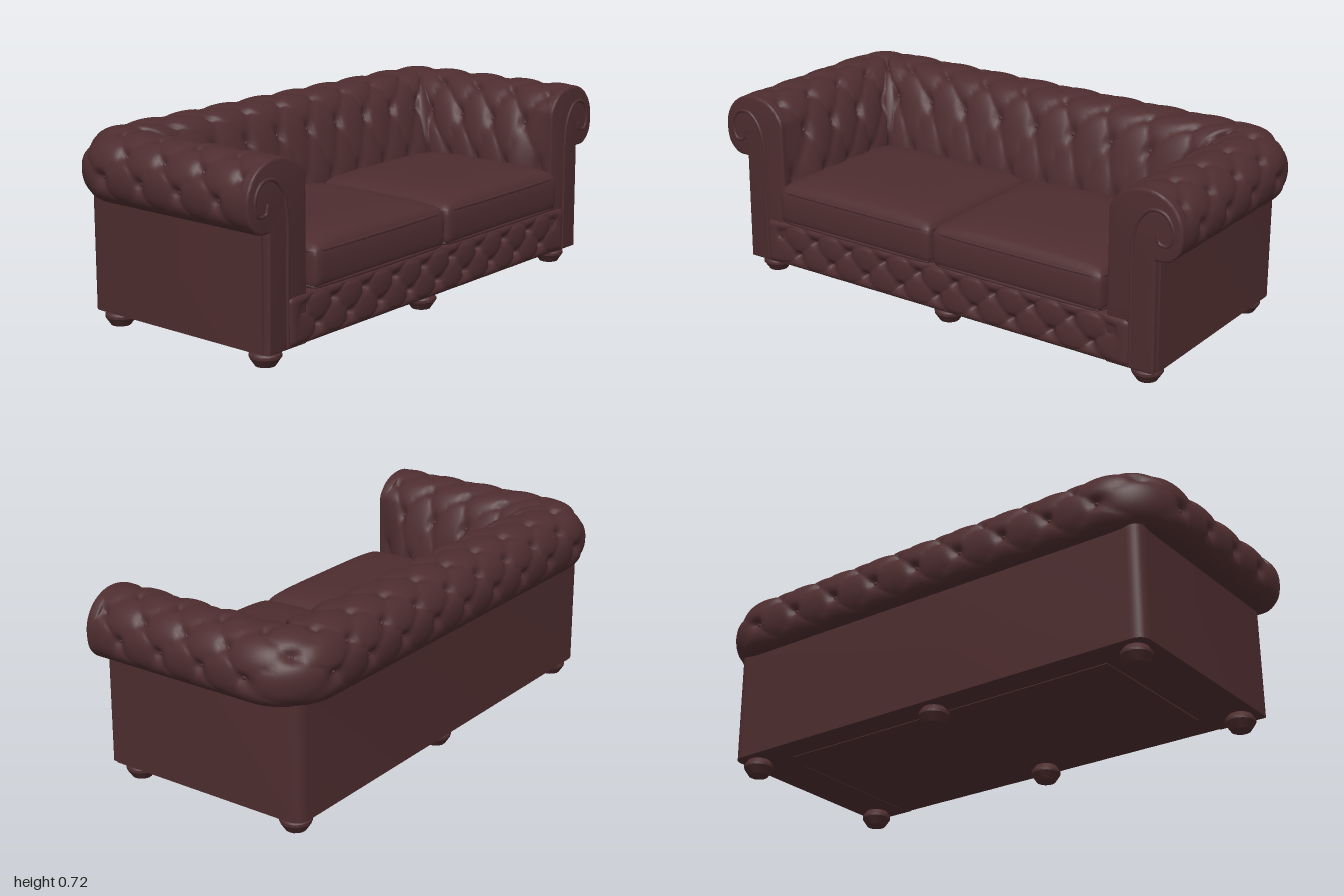
import * as THREE from 'three';
import { mergeVertices, toCreasedNormals } from 'three/addons/utils/BufferGeometryUtils.js';

const leather = new THREE.MeshStandardMaterial({ color: 0x4e2d2f });
leather.name = 'oxblood leather';

const { lerp, smoothstep, clamp } = THREE.MathUtils;

// Roll cross-sections: outward distance from the outer wall, height
const curve = (pts) => new THREE.SplineCurve(pts.map((p) => new THREE.Vector2(...p)));
const backSection = curve([[-0.01, 0.47], [0.03, 0.48], [0.056, 0.52], [0.064, 0.58], [0.056, 0.63], [0.025, 0.68],
  [-0.03, 0.706], [-0.1, 0.712], [-0.17, 0.695], [-0.215, 0.64], [-0.25, 0.55], [-0.285, 0.42], [-0.29, 0.3]]);
const armSection = curve([[-0.01, 0.47], [0.04, 0.475], [0.08, 0.515], [0.09, 0.58], [0.077, 0.635], [0.04, 0.682],
  [-0.02, 0.71], [-0.09, 0.708], [-0.15, 0.68], [-0.195, 0.62], [-0.23, 0.53], [-0.25, 0.42], [-0.25, 0.3]]);

// Depth of diamond tufting; buttons lie where n + row/2 and n - row/2 are whole
function tuftDepth(n, row) {
  const a = Math.abs(Math.sin(Math.PI * (n + row / 2)));
  const b = Math.abs(Math.sin(Math.PI * (n - row / 2)));
  const crease = 1 - Math.pow(a * b, 0.45);
  const dimple = Math.exp(-(a * a + b * b) * 5);
  return 0.01 * crease + 0.022 * dimple;
}
const whole = (v) => Math.abs(v - Math.round(v)) < 1e-6;

function add(parent, name, geometry, x = 0, y = 0, z = 0) {
  const mesh = new THREE.Mesh(geometry, leather);
  mesh.name = name;
  mesh.position.set(x, y, z);
  parent.add(mesh);
  return mesh;
}

// Move vertices along their normals, then smooth again
function inflate(geo, amount) {
  geo.computeVertexNormals();
  const p = geo.attributes.position, nr = geo.attributes.normal;
  for (let i = 0; i < p.count; i++) {
    const h = amount(i, p, nr);
    p.setXYZ(i, p.getX(i) + nr.getX(i) * h, p.getY(i) + nr.getY(i) * h, p.getZ(i) + nr.getZ(i) * h);
  }
  geo.computeVertexNormals();
  return geo;
}

// Finely divided box with rounded edges; power < 1 packs divisions to the edges
function softBox(w, h, d, r, segs, power = 1) {
  let geo = new THREE.BoxGeometry(w, h, d, ...segs);
  geo.deleteAttribute('uv');
  geo.deleteAttribute('normal');
  geo = mergeVertices(geo);
  const half = new THREE.Vector3(w / 2, h / 2, d / 2);
  const p = geo.attributes.position, v = new THREE.Vector3(), core = new THREE.Vector3();
  const limit = half.clone().subScalar(r);
  for (let i = 0; i < p.count; i++) {
    v.fromBufferAttribute(p, i);
    for (const k of ['x', 'y', 'z']) v[k] = Math.sign(v[k]) * half[k] * Math.pow(Math.abs(v[k]) / half[k], power);
    core.copy(v).clamp(limit.clone().negate(), limit);
    v.sub(core);
    if (v.length() > 0) v.setLength(r);
    v.add(core);
    p.setXYZ(i, v.x, v.y, v.z);
  }
  geo.computeVertexNormals();
  return geo;
}

// Point on the U-shaped roll: n runs arm, corner, back, corner, arm
function rollPoint(n, t) {
  const side = n > 8 ? 1 : -1, m = n > 8 ? 16 - n : n;
  const A = armSection.getPoint(t), B = backSection.getPoint(t);
  const X = -0.41 - B.x;
  let Z = 0.91 + A.x;
  const r = Math.max(0.03, 0.15 + (A.x + B.x) / 2);
  const y = lerp(A.y, B.y, smoothstep(m, 3, 4));
  let x;
  if (m < 3) {
    const k = (m + 0.75) / 3.75;
    x = lerp(0.42, X + r, k);
    Z = lerp(Math.max(Z, 0.72), Z, smoothstep(k, 0, 0.3));
  } else if (m < 4) {
    const a = (m - 3) * Math.PI / 2;
    x = X + r - r * Math.sin(a);
    Z = Z - r + r * Math.cos(a);
  } else {
    x = X;
    Z = (Z - r) * (1 - (m - 4) / 4);
  }
  return [x, y, side * Z];
}

function addTuftedRoll(sofa) {
  const cols = 280, rows = 72, pos = [], index = [], nOf = [], rowOf = [];
  for (let i = 0; i <= cols; i++) for (let j = 0; j <= rows; j++) {
    const n = -0.75 + i / 16;
    pos.push(...rollPoint(n, j / rows));
    nOf.push(n);
    rowOf.push((j - 17) / 10);
    if (i < cols && j < rows) {
      const a = i * (rows + 1) + j, b = a + rows + 1;
      index.push(a, b, a + 1, b, b + 1, a + 1);
    }
  }
  const geo = new THREE.BufferGeometry();
  geo.setAttribute('position', new THREE.Float32BufferAttribute(pos, 3));
  geo.setIndex(index);
  const fade = (i) => smoothstep(rowOf[i], -1.1, -0.1) * smoothstep(Math.min(nOf[i], 16 - nOf[i]), -0.75, -0.4);
  inflate(geo, (i) => 0.004 * fade(i) - fade(i) * tuftDepth(nOf[i], rowOf[i]));
  add(sofa, 'tuftedArmsAndBack', geo);
  // Buttons at the bottom of each dimple
  const buttons = new THREE.Group();
  buttons.name = 'buttons';
  const ball = new THREE.SphereGeometry(0.009, 8, 6);
  nOf.forEach((n, i) => {
    const row = rowOf[i];
    if (fade(i) > 0.9 && row < 4.5 && whole(n + row / 2) && whole(n - row / 2)) {
      add(buttons, 'button', ball, ...new THREE.Vector3().fromBufferAttribute(geo.attributes.position, i).toArray());
    }
  });
  sofa.add(buttons);
}

export function createModel() {
  const sofa = new THREE.Group();
  sofa.name = 'sofa';

  // Outer walls, U-shaped in plan
  const plan = new THREE.Shape();
  plan.moveTo(0.405, -0.91).lineTo(0.405, -0.735).lineTo(-0.2, -0.735).lineTo(-0.2, 0.735).lineTo(0.405, 0.735);
  plan.lineTo(0.405, 0.91).lineTo(-0.36, 0.91).quadraticCurveTo(-0.41, 0.91, -0.41, 0.86);
  plan.lineTo(-0.41, -0.86).quadraticCurveTo(-0.41, -0.91, -0.36, -0.91);
  const walls = new THREE.ExtrudeGeometry(plan, { depth: 0.42, bevelEnabled: false, curveSegments: 8 });
  walls.rotateX(-Math.PI / 2);
  add(sofa, 'outerWalls', toCreasedNormals(walls, 0.6), 0, 0.06, 0);

  add(sofa, 'seatDeck', new THREE.BoxGeometry(0.65, 0.18, 1.5), 0.075, 0.152, 0);
  add(sofa, 'undersidePanel', new THREE.BoxGeometry(0.6, 0.006, 1.4), 0, 0.06, 0);

  addTuftedRoll(sofa);

  // Tufted rail under the cushions
  const rail = softBox(0.1, 0.178, 1.63, 0.025, [8, 30, 200]);
  inflate(rail, (i, p, nr) => {
    const inside = smoothstep(0.82 - Math.abs(p.getZ(i)), 0.03, 0.1);
    return -inside * smoothstep(nr.getX(i), 0.3, 1) * tuftDepth(p.getZ(i) / 0.165, (p.getY(i) + 0.035) / 0.07);
  });
  add(sofa, 'tuftedFrontRail', rail, 0.391, 0.15, 0);

  // Scrolled arm fronts with piping
  for (const s of [1, -1]) {
    const name = s > 0 ? 'left' : 'right';
    const outline = armSection.getPoints(48).map((q) => new THREE.Vector2(-s * Math.max(0.91 + q.x, 0.72), q.y));
    outline.push(new THREE.Vector2(-s * 0.72, 0.06), new THREE.Vector2(-s * 0.905, 0.06));
    const front = new THREE.ExtrudeGeometry(new THREE.Shape(outline),
      { depth: 0.028, bevelThickness: 0.008, bevelSize: 0.008, bevelOffset: -0.008, bevelSegments: 3 });
    front.rotateY(Math.PI / 2);
    add(sofa, name + 'ArmFront', toCreasedNormals(front, 0.7), 0.395, 0, 0);
    const scroll = [[0.815, 0.07], [0.815, 0.3], [0.815, 0.52], [0.835, 0.6], [0.88, 0.645], [0.935, 0.64],
      [0.965, 0.59], [0.95, 0.535], [0.915, 0.535], [0.905, 0.57]];
    const path = new THREE.CatmullRomCurve3(scroll.map(([z, y]) => new THREE.Vector3(0.43, y, s * z)));
    add(sofa, name + 'ArmPiping', new THREE.TubeGeometry(path, 70, 0.007, 8));
  }

  // Seat cushions: crowned tops and piped edges
  const cushion = softBox(0.62, 0.14, 0.712, 0.025, [28, 8, 28], 0.7);
  const p = cushion.attributes.position;
  for (let i = 0; i < p.count; i++) {
    const u = p.getX(i) / 0.31, w = p.getZ(i) / 0.356, v = p.getY(i) / 0.07;
    const crown = Math.sqrt(Math.max(0, (1 - u ** 4) * (1 - w ** 4)));
    if (v > 0) p.setY(i, p.getY(i) + 0.045 * crown * clamp(v, 0, 1));
    p.setX(i, p.getX(i) + 0.006 * u * (1 - v * v));
  }
  cushion.computeVertexNormals();
  const corners = [];
  for (const [x, z, a] of [[1, 1, 0], [-1, 1, 1], [-1, -1, 2], [1, -1, 3]]) {
    for (let k = 0; k <= 3; k++) {
      const t = (a + k / 3) * Math.PI / 2;
      corners.push(new THREE.Vector3(x * 0.281 + 0.022 * Math.cos(t), 0, z * 0.327 + 0.022 * Math.sin(t)));
    }
  }
  const edge = new THREE.CatmullRomCurve3(corners, true, 'centripetal');
  const piping = new THREE.TubeGeometry(edge, 120, 0.007, 6, true);
  for (const s of [1, -1]) {
    const seat = new THREE.Group();
    seat.name = s > 0 ? 'leftCushion' : 'rightCushion';
    add(seat, 'cushionPad', cushion);
    add(seat, 'topPiping', piping, 0, 0.06, 0);
    add(seat, 'bottomPiping', piping, 0, -0.06, 0);
    seat.position.set(0.153, 0.315, s * 0.36);
    sofa.add(seat);
  }

  // Turned bun feet
  const profile = [[0, 0], [0.036, 0], [0.056, 0.03], [0.056, 0.04], [0.04, 0.062], [0, 0.062]];
  const bun = toCreasedNormals(new THREE.LatheGeometry(profile.map((q) => new THREE.Vector2(...q)), 14), 0.5);
  for (const x of [-0.34, 0.353]) for (const z of [-0.84, 0, 0.84]) add(sofa, 'foot', bun, x, 0, z);

  return sofa;
}
